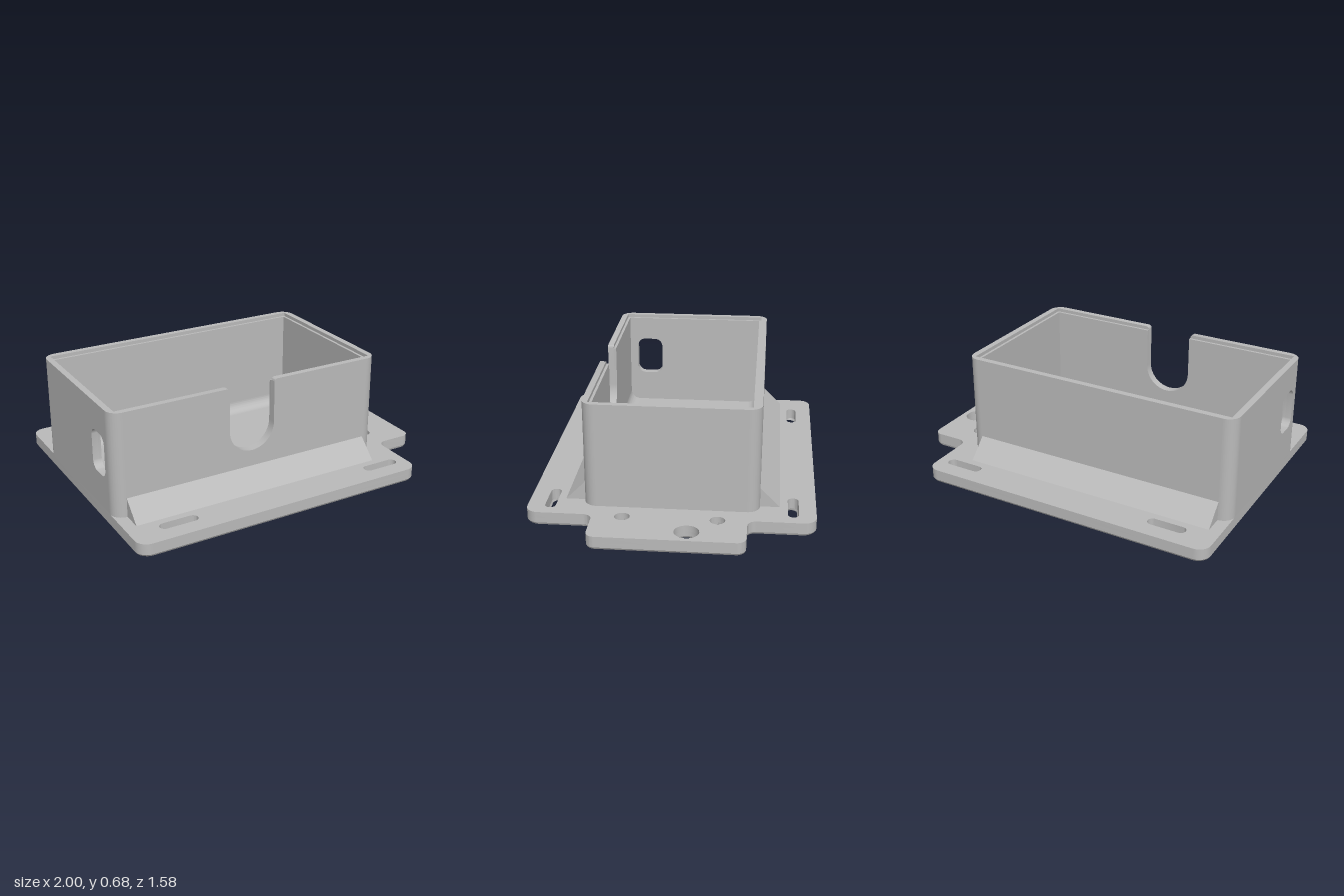
import * as THREE from 'three';
import { toCreasedNormals } from 'three/addons/utils/BufferGeometryUtils.js';

const plastic = new THREE.MeshStandardMaterial({ color: 0xbababa });
plastic.name = 'greyPlastic';

// Closed outline through [x, y, radius] corners, each corner rounded
function rounded(points, Type = THREE.Shape) {
  const path = new Type();
  const n = points.length, k = 0.4477;
  points.forEach(([x, y, r = 0], i) => {
    const toward = ([px, py], d) => {
      const l = Math.hypot(px - x, py - y);
      return [x + (px - x) * d / l, y + (py - y) * d / l];
    };
    const prev = points[(i + n - 1) % n], next = points[(i + 1) % n];
    const a = toward(prev, r), b = toward(next, r);
    if (i === 0) path.moveTo(...a); else path.lineTo(...a);
    if (r > 0) path.bezierCurveTo(...toward(prev, r * k), ...toward(next, r * k), ...b);
  });
  path.closePath();
  return path;
}

const rectHole = (cx, cy, w, h, r) => rounded([
  [cx - w / 2, cy - h / 2, r], [cx - w / 2, cy + h / 2, r],
  [cx + w / 2, cy + h / 2, r], [cx + w / 2, cy - h / 2, r]], THREE.Path);

const roundHole = (x, y, r) => new THREE.Path().absarc(x, y, r, 0, Math.PI * 2, true);

const hexHole = (x, y, r) => rounded(Array.from({ length: 6 }, (_, i) =>
  [x + r * Math.cos(-i * Math.PI / 3), y + r * Math.sin(-i * Math.PI / 3)]), THREE.Path);

const extrude = (shape, depth) =>
  new THREE.ExtrudeGeometry(shape, { depth, bevelEnabled: false, curveSegments: 12 });

function add(parent, name, geometry, x = 0, y = 0, z = 0, turn = 0) {
  const mesh = new THREE.Mesh(toCreasedNormals(geometry, 0.5), plastic);
  mesh.name = name;
  mesh.position.set(x, y, z);
  mesh.rotation.y = turn;
  parent.add(mesh);
  return mesh;
}

const PLATE = 0.075, TOP = 0.675, LEDGE = 0.655;
const CX = -0.17, HX = 0.83, HZ = 0.483; // box centre and half sizes
const WALL = 0.05, LIP = 0.035, R = 0.07;
const SCREWS = [[-0.43, 0.145], [-0.43, -0.145], [0.45, 0.145], [0.45, -0.145]];

// Base plate with side tab, in layers so that holes can change size with depth
function basePlate() {
  const group = new THREE.Group();
  group.name = 'basePlate';
  const layers = [
    { y0: 0, y1: 0.012, screw: 0.058, hex: true },
    { y0: 0.012, y1: 0.04, screw: 0.042, hex: true },
    { y0: 0.04, y1: PLATE, screw: 0.085, hex: false },
  ];
  for (const { y0, y1, screw, hex } of layers) {
    const shape = rounded([
      [-1, -0.79, R], [0.76, -0.79, R], [0.76, -0.42, 0.05], [1, -0.42, 0.05],
      [1, 0.42, 0.05], [0.76, 0.42, 0.05], [0.76, 0.79, R], [-1, 0.79, R]]);
    for (const y of [-0.665, 0.665])
      for (const x of [-0.72, 0.587]) shape.holes.push(rectHole(x, y, 0.222, 0.06, 0.0299));
    for (const [x, y] of SCREWS) shape.holes.push(roundHole(x, y, screw));
    for (const y of [-0.255, 0.26])
      shape.holes.push(hex ? hexHole(0.768, y, 0.077) : roundHole(0.768, y, 0.042));
    shape.holes.push(roundHole(0.905, 0.105, 0.068));
    const geometry = extrude(shape, y1 - y0).rotateX(-Math.PI / 2);
    if (y0 === 0) { // small chamfer round the lower edge
      const p = geometry.attributes.position;
      for (let i = 0; i < p.count; i++)
        if (p.getY(i) < 0.001) p.setXYZ(i, p.getX(i) * 0.993, 0, p.getZ(i) * 0.991);
    }
    add(group, 'plateLayer', geometry, 0, y0, 0);
  }
  // Countersinks in the floor
  const cone = [new THREE.Vector2(0.085, PLATE), new THREE.Vector2(0.042, 0.04)];
  for (const [x, z] of SCREWS) add(group, 'countersink', new THREE.LatheGeometry(cone, 32), x, 0, z);
  return group;
}

// Wall outline in its own plane, optionally with the open cable notch
function wallShape(half, top, notch) {
  const s = new THREE.Shape();
  s.moveTo(-half, PLATE);
  s.lineTo(half, PLATE);
  s.lineTo(half, top);
  if (notch) {
    const flare = top === TOP ? 0.02 : 0;
    s.lineTo(0.14 + flare, top);
    if (flare) s.quadraticCurveTo(0.14, top, 0.14, top - flare);
    s.lineTo(0.14, 0.42);
    s.absarc(0, 0.42, 0.14, 0, Math.PI, true);
    s.lineTo(-0.14, top - flare);
    if (flare) s.quadraticCurveTo(-0.14, top, -0.14 - flare, top);
  }
  s.lineTo(-half, top);
  s.closePath();
  return s;
}

// Open box: four walls and rounded corners, with a ledge inside the rim
function box() {
  const group = new THREE.Group();
  group.name = 'box';
  group.position.x = CX;
  const walls = [
    { name: 'frontWall', half: HX, out: HZ, turn: 0, notch: true },
    { name: 'backWall', half: HX, out: HZ, turn: Math.PI },
    { name: 'leftWall', half: HZ, out: HX, turn: Math.PI / 2 },
    { name: 'rightWall', half: HZ, out: HX, turn: -Math.PI / 2, port: true },
  ];
  const skins = [{ near: 0, far: LIP, top: TOP }, { near: LIP, far: WALL, top: LEDGE }];
  for (const { name, half, out, turn, notch, port } of walls)
    for (const { near, far, top } of skins) {
      const shape = wallShape(half - R, top, notch);
      if (port) shape.holes.push(rectHole(0.3, 0.39, 0.165, 0.24, 0.05));
      add(group, name, extrude(shape, far - near).translate(0, 0, out - far), 0, 0, 0, turn);
    }

  // Corner posts: round outside, square inside
  const posts = [[PLATE, LEDGE, WALL], [LEDGE, TOP, LIP]];
  for (const [y0, y1, t] of posts) {
    const s = new THREE.Shape();
    s.moveTo(R, 0);
    s.absarc(0, 0, R, 0, Math.PI / 2, false);
    s.lineTo(0, R - t);
    s.lineTo(R - t, R - t);
    s.lineTo(R - t, 0);
    s.closePath();
    const post = extrude(s, y1 - y0).rotateX(-Math.PI / 2);
    const x = HX - R, z = HZ - R;
    [[x, -z], [-x, -z], [-x, z], [x, z]].forEach(([px, pz], i) =>
      add(group, 'cornerPost', post.clone(), px, y0, pz, i * Math.PI / 2));
  }

  // Concave fillets between floor and long walls
  const f = 0.06, inner = HX - WALL;
  const fillet = new THREE.Shape();
  fillet.moveTo(0, 0);
  fillet.lineTo(f, 0);
  fillet.absarc(f, f, f, -Math.PI / 2, -Math.PI, true);
  fillet.closePath();
  for (const side of [1, -1])
    add(group, 'floorFillet', extrude(fillet, inner * 2),
      -side * inner, PLATE, side * (HZ - WALL), side * Math.PI / 2);
  return group;
}

export function createModel() {
  const model = new THREE.Group();
  model.name = 'mountingBox';
  model.add(basePlate(), box());

  // Sloped braces along the long sides
  const brace = rounded([[0, 0], [0.11, 0], [0, 0.11]]);
  add(model, 'frontBrace', extrude(brace, 1.515), 0.585, PLATE, HZ, -Math.PI / 2);
  add(model, 'backBrace', extrude(brace, 1.515), -0.93, PLATE, -HZ, Math.PI / 2);
  return model;
}
